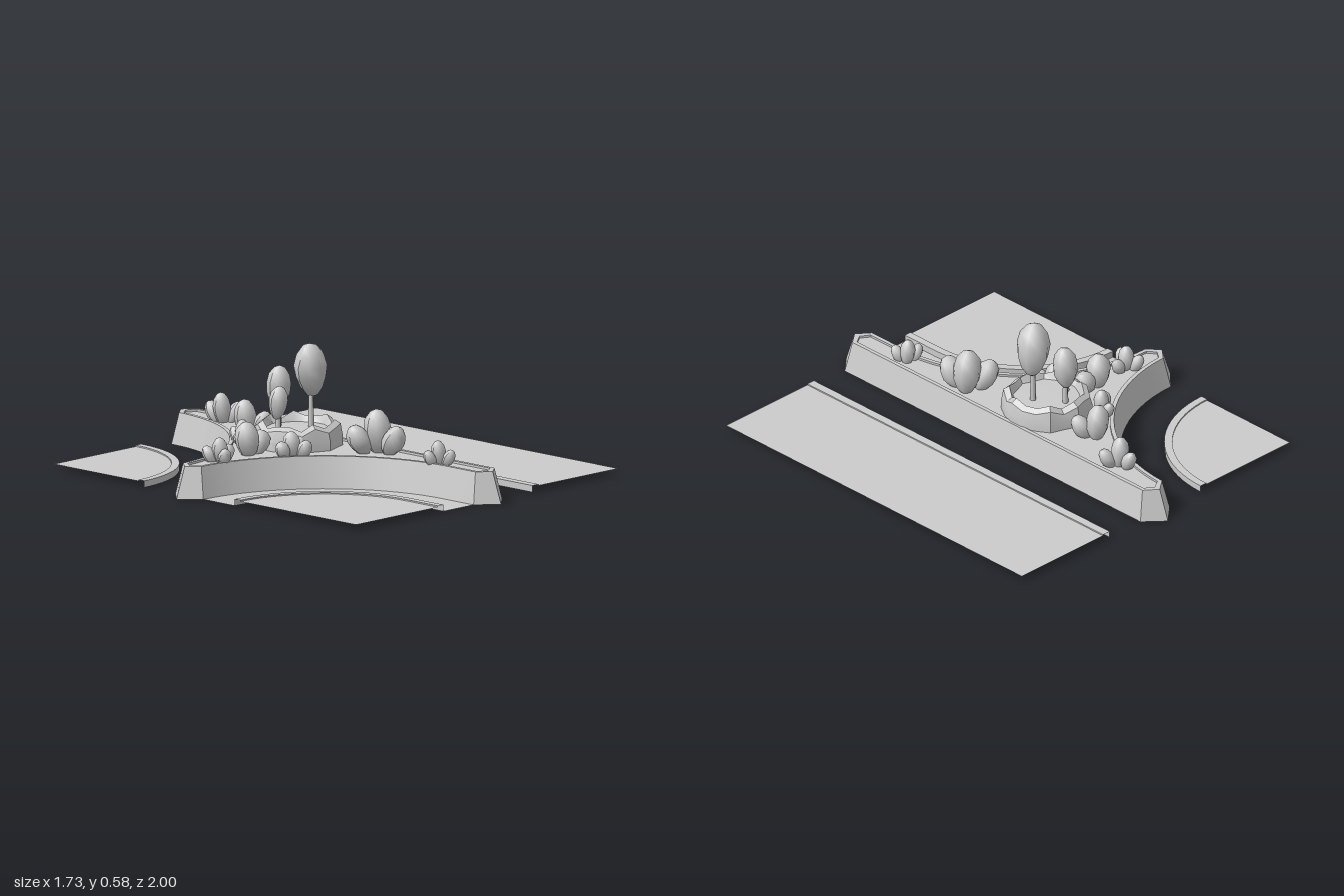
import * as THREE from 'three';
import { toCreasedNormals } from 'three/addons/utils/BufferGeometryUtils.js';

const material = new THREE.MeshStandardMaterial({ color: 0xcccccc, side: THREE.DoubleSide });
const MID = -0.095; // z of the island's mirror line
const ROAD_X = -0.79;
const END = 0.92;

function add(group, name, geometry) {
  const mesh = new THREE.Mesh(geometry, material);
  mesh.name = name;
  group.add(mesh);
  return mesh;
}

// Surface stretched through rows of [x, y, z] points
function loft(rows, closed = false) {
  const n = rows[0].length, index = [];
  for (let r = 0; r < rows.length - 1; r++) {
    for (let i = 0; i < (closed ? n : n - 1); i++) {
      const a = r * n + i, b = r * n + (i + 1) % n;
      index.push(a, b, a + n, b, b + n, a + n);
    }
  }
  const g = new THREE.BufferGeometry();
  g.setAttribute('position', new THREE.Float32BufferAttribute(rows.flat(2), 3));
  g.setIndex(index);
  return toCreasedNormals(g, 0.5);
}

// Horizontal sheet bounded by [x, z] points
function sheet(points, y) {
  const shape = new THREE.Shape(points.map(([x, z]) => new THREE.Vector2(x, -z)));
  return new THREE.ShapeGeometry(shape).rotateX(-Math.PI / 2).translate(0, y, 0);
}

const lift = (points, y) => points.map(([x, z]) => [x, y, z]);

// Quarter arc about a street corner; side is the z direction towards the island
function arc(cz, side, r, trim = 0, steps = 20) {
  return Array.from({ length: steps + 1 }, (_, i) => {
    const a = trim + (Math.PI / 2 - 2 * trim) * i / steps;
    return [ROAD_X + r * Math.sin(a), cz + side * r * Math.cos(a)];
  });
}
const backPath = (r) => arc(-END, 1, r);
const frontPath = (r) => [...arc(0.73, -1, r), [ROAD_X + r, END]];
const sidePath = (x) => [[x, -END], [x, END]];

// Three-pointed island outline, moved inwards by d
function outline(d) {
  const r = 0.74 + d, trim = Math.asin(0.6 * d / r), end = END - 0.6 * d, tip = 1 - 1.7 * d;
  return [
    [-0.87 + 1.7 * d, MID],
    ...arc(0.73, -1, r, trim),
    [-0.05 + d, end], [0.04, tip], [0.13 - d, end],
    [0.13 - d, -end], [0.04, -tip],
    ...arc(-END, 1, r, trim).reverse(),
  ];
}

// Pavement sheet with its raised kerb between the outer and inner paths
function pavement(name, outer, inner, corners) {
  const group = new THREE.Group();
  group.name = name;
  add(group, 'kerb', loft([lift(inner, 0.024), lift(inner, 0.03), lift(outer, 0.03), lift(outer, 0)]));
  add(group, 'paving', sheet([...inner, ...corners], 0.024));
  return group;
}

// Low-poly leaf mass, narrower towards its foot
function leafGeometry(seed) {
  const g = new THREE.SphereGeometry(1, 9, 7);
  const p = g.attributes.position;
  for (let i = 0; i < p.count; i++) {
    const x = p.getX(i), y = p.getY(i), z = p.getZ(i);
    const k = (y < 0 ? 1 + 0.25 * y : 1) * (1 + 0.07 * Math.sin(5 * x + 3 * y + seed) * Math.cos(4 * z + seed));
    p.setXYZ(i, x * k, y, z * k);
  }
  g.computeVertexNormals();
  return g;
}

function leaf(group, name, x, y, z, r, h, tiltX, tiltZ) {
  const mesh = add(group, name, leafGeometry(x * 17 + z * 29));
  mesh.position.set(x, y, z);
  mesh.scale.set(r, h, r);
  mesh.rotation.set(tiltX, 0, tiltZ);
}

// Upright main lobe with smaller lobes leaning out around it
function makeBush(x, z, r, top, angle, sideLobes) {
  const bush = new THREE.Group();
  bush.name = 'bush';
  const base = 0.11, h = (top - base) / 2;
  leaf(bush, 'mainLobe', x, base + h, z, r, h, 0, 0.1);
  for (let i = 0; i < sideLobes; i++) {
    const a = angle + 2.1 * i, c = Math.cos(a), s = Math.sin(a);
    leaf(bush, 'sideLobe', x + 1.3 * r * c, base + 0.72 * h, z + 1.3 * r * s, 0.8 * r, 0.72 * h, 0.5 * s, -0.5 * c);
  }
  return bush;
}

// Tree with a leaning egg-shaped crown
function makeTree(x, y, z, r, h, lean) {
  const tree = new THREE.Group();
  tree.name = 'tree';
  leaf(tree, 'crown', x, y, z, r, h, 0.08, lean);
  const trunk = add(tree, 'trunk', new THREE.CylinderGeometry(0.009, 0.014, y - 0.19, 6));
  trunk.position.set(x, (y + 0.19) / 2, z);
  return tree;
}

// Round planter with a wavy, uneven lip
function planterGeometry() {
  const profile = [[0.195, 0.12], [0.195, 0.17], [0.185, 0.215], [0.16, 0.232], [0.145, 0.2], [0, 0.205]];
  const g = new THREE.LatheGeometry(profile.map(([x, y]) => new THREE.Vector2(x, y)), 18);
  const p = g.attributes.position;
  for (let i = 0; i < p.count; i++) {
    const x = p.getX(i), y = p.getY(i), z = p.getZ(i);
    const a = Math.atan2(z, x), k = 1 + 0.04 * Math.cos(8 * a);
    const onLip = Math.hypot(x, z) > 0.15 && y > 0.2;
    p.setXYZ(i, x * k, onLip ? y + 0.015 * Math.sin(7 * a + 1) : y, z * k);
  }
  return toCreasedNormals(g, 0.5);
}

export function createModel() {
  const model = new THREE.Group();

  // Island: sloping wall, rim and sunken bed
  const rim = outline(0.03), inner = outline(0.048);
  add(model, 'islandWall', loft([lift(outline(0), 0), lift(rim, 0.14), lift(inner, 0.14), lift(inner, 0.13)], true));
  add(model, 'plantingBed', sheet(inner, 0.13));
  add(model, 'planter', planterGeometry()).position.set(-0.105, 0, -0.1);

  // Road around the front corner, and the three pavements
  add(model, 'road', loft([lift(frontPath(0.55), 0), lift(frontPath(0.74), 0)]));
  model.add(
    pavement('frontPavement', frontPath(0.55), frontPath(0.515), [[ROAD_X, END]]),
    pavement('backPavement', backPath(0.55), backPath(0.515), [[ROAD_X, -END]]),
    pavement('sidePavement', sidePath(0.32), sidePath(0.36), sidePath(0.86).reverse()),
  );

  // Trees in the planter
  model.add(
    makeTree(-0.04, 0.455, -0.08, 0.077, 0.125, 0.15),
    makeTree(-0.125, 0.375, -0.195, 0.058, 0.098, 0),
    makeTree(-0.2, 0.325, -0.125, 0.045, 0.076, -0.1),
  );

  // Bushes along the three arms
  model.add(
    makeBush(0, -0.66, 0.042, 0.265, -1.57, 2),
    makeBush(-0.1, -0.42, 0.053, 0.285, 0.9, 1),
    makeBush(-0.26, -0.28, 0.035, 0.24, 2.7, 2),
    makeBush(-0.42, -0.1, 0.058, 0.28, 0, 1),
    makeBush(-0.605, -0.085, 0.037, 0.24, -0.1, 3),
    makeBush(-0.28, 0.035, 0.042, 0.235, 1.06, 2),
    makeBush(0.02, 0.27, 0.066, 0.325, 1.5, 2),
    makeBush(0.03, 0.63, 0.035, 0.235, 1.2, 2),
  );

  return model;
}
